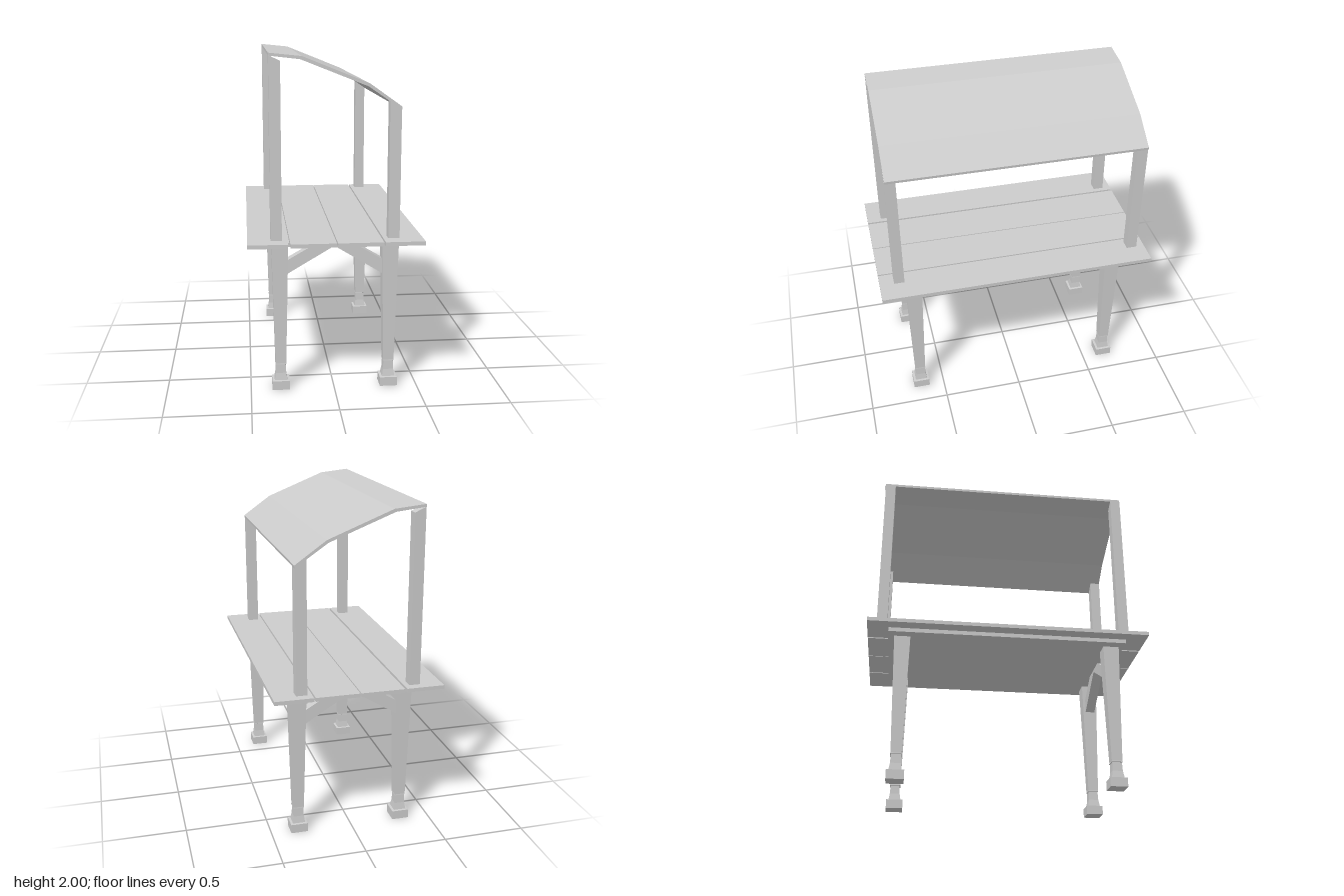
import * as THREE from 'three';

const material = new THREE.MeshStandardMaterial({ color: 0xcccccc, flatShading: true });

export function createModel() {
  const model = new THREE.Group();
  model.name = 'marketStall';

  function add(name, geometry) {
    const mesh = new THREE.Mesh(geometry, material);
    mesh.name = name;
    model.add(mesh);
    return mesh;
  }

  // Box given by its limits on each axis
  function box(name, x0, x1, y0, y1, z0, z1) {
    add(name, new THREE.BoxGeometry(x1 - x0, y1 - y0, z1 - z0))
      .position.set((x0 + x1) / 2, (y0 + y1) / 2, (z0 + z1) / 2);
  }

  // Front outline extruded from z0 to z1
  function slab(name, outline, z0, z1) {
    const shape = new THREE.Shape(outline.map(([x, y]) => new THREE.Vector2(x, y)));
    const geometry = new THREE.ExtrudeGeometry(shape, { depth: z1 - z0, bevelEnabled: false });
    add(name, geometry.translate(0, 0, z0));
  }

  // Table top: four planks on a lower board
  for (const [x0, x1] of [[-0.508, -0.279], [-0.266, -0.003], [0.003, 0.266], [0.275, 0.505]]) {
    box('tablePlank', x0, x1, 0.92, 0.943, -0.857, 0.857);
  }
  box('lowerBoard', -0.43, 0.433, 0.895, 0.92, -0.73, 0.73);

  // Square turned legs: half width and height along the profile
  const legProfile = [
    [0, 0], [0.052, 0], [0.052, 0.055], [0.038, 0.057], [0.031, 0.1], [0.029, 0.153],
    [0.033, 0.155], [0.032, 0.162], [0.049, 0.895], [0, 0.895],
  ].map(([half, y]) => new THREE.Vector2(half * Math.SQRT2, y));
  const legGeometry = new THREE.LatheGeometry(legProfile, 4, Math.PI / 4);
  for (const x of [-0.32, 0.33]) {
    for (const z of [-0.645, 0.65]) {
      add('leg', legGeometry).position.set(x, 0, z);
    }
  }

  // Diagonal braces between the legs at both ends
  for (const z of [-0.645, 0.65]) {
    slab('leftBrace', [[0.003, 0.88], [0.3, 0.698], [0.3, 0.785], [0.11, 0.897], [0.003, 0.897]], z - 0.03, z + 0.03);
    slab('rightBrace', [[-0.003, 0.88], [-0.003, 0.897], [-0.11, 0.897], [-0.29, 0.793], [-0.29, 0.71]], z - 0.03, z + 0.03);
  }

  // Roof posts, cut to the slope of the roof
  for (const z of [-0.805, 0.704]) {
    slab('tallPost', [[-0.375, 0.94], [-0.31, 0.94], [-0.31, 1.955], [-0.375, 1.985]], z, z + 0.064);
    slab('shortPost', [[0.303, 0.94], [0.369, 0.94], [0.369, 1.692], [0.303, 1.732]], z, z + 0.064);
  }

  // Bent roof sheet
  slab('roof', [
    [-0.375, 1.984], [-0.2, 1.964], [0.18, 1.814], [0.37, 1.684],
    [0.372, 1.7], [0.19, 1.829], [-0.19, 1.981], [-0.375, 2],
  ], -0.807, 0.767);

  return model;
}
